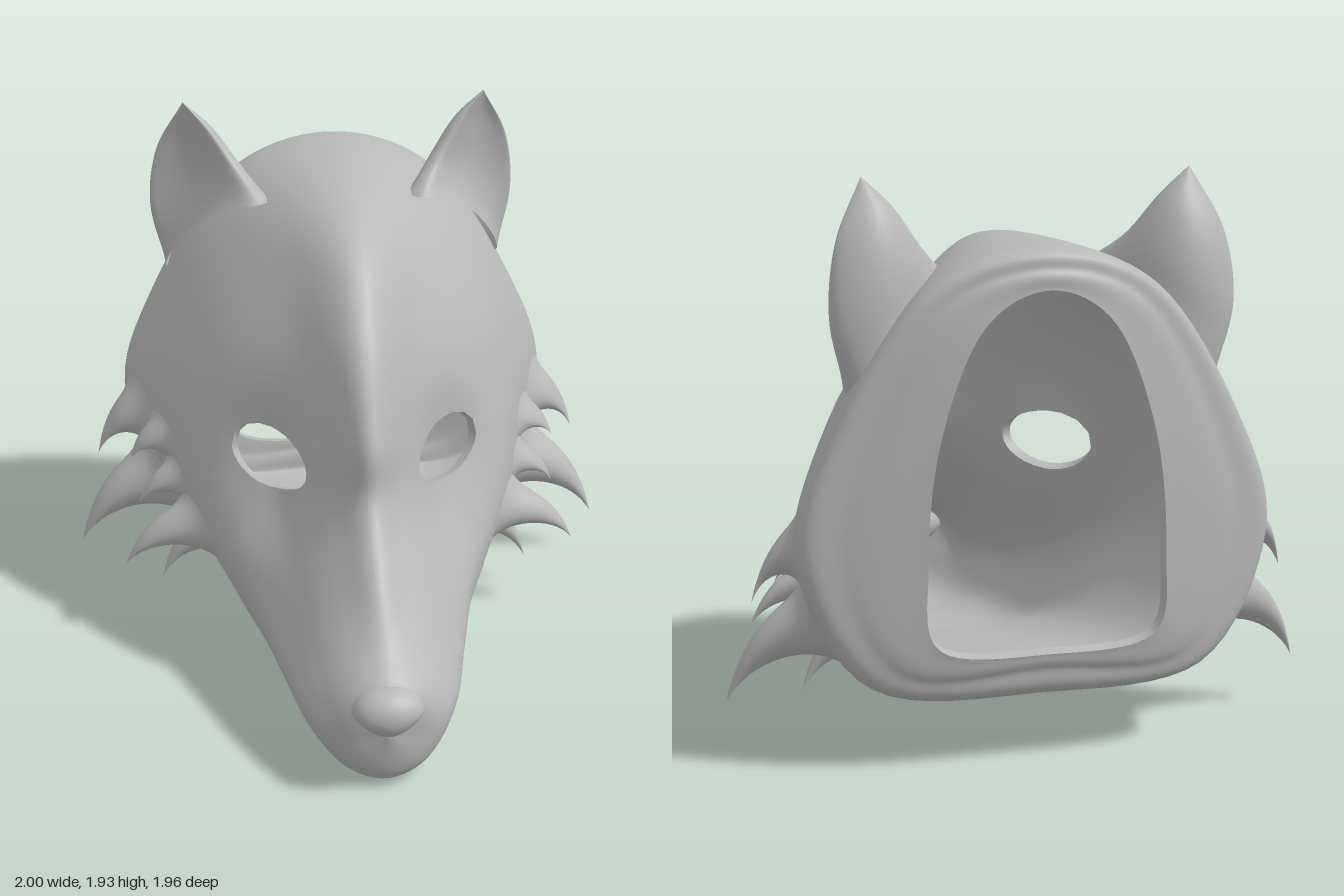
import * as THREE from 'three';

const V = (x, y, z) => new THREE.Vector3(x, y, z);
const spline = (pts, closed = false) => new THREE.CatmullRomCurve3(pts, closed, 'catmullrom', 0.5);

// Cross-sections of one half, nose end to back opening: ridge, brow, eye, cheek, jaw, keel
const sections = [];
const section = (...p) => sections.push(p.map((q) => V(...q)));
const tip = [0, 0.25, 0.93];
section(tip, tip, tip, tip, tip, tip);
section([0, 0.405, 0.895], [0.09, 0.38, 0.885], [0.16, 0.3, 0.865], [0.175, 0.2, 0.855], [0.11, 0.09, 0.87], [0, 0.05, 0.88]);
section([0, 0.51, 0.76], [0.1, 0.475, 0.74], [0.2, 0.38, 0.72], [0.27, 0.24, 0.7], [0.18, 0.06, 0.72], [0, 0, 0.76]);
section([0, 0.66, 0.62], [0.11, 0.62, 0.55], [0.23, 0.52, 0.46], [0.335, 0.3, 0.44], [0.23, 0.08, 0.5], [0, 0.015, 0.55]);
section([0, 0.86, 0.42], [0.13, 0.79, 0.32], [0.27, 0.67, 0.165], [0.4, 0.4, 0.2], [0.285, 0.1, 0.25], [0, 0.04, 0.3]);
section([0, 1.08, 0.38], [0.16, 1.0, 0.2], [0.32, 0.86, 0.015], [0.485, 0.5, 0.03], [0.35, 0.16, 0.05], [0, 0.08, 0.1]);
section([0, 1.4, 0.17], [0.22, 1.27, 0.01], [0.46, 1.0, -0.13], [0.58, 0.55, -0.15], [0.38, 0.2, -0.15], [0, 0.12, -0.12]);
section([0, 1.65, -0.2], [0.28, 1.5, -0.32], [0.58, 1.08, -0.38], [0.67, 0.6, -0.42], [0.44, 0.23, -0.42], [0, 0.17, -0.4]);
section([0, 1.71, -0.87], [0.39, 1.57, -0.85], [0.69, 1.12, -0.83], [0.8, 0.7, -0.83], [0.56, 0.27, -0.86], [0, 0.22, -0.89]);
section([0, 1.64, -0.97], [0.33, 1.52, -0.945], [0.57, 1.1, -0.92], [0.65, 0.7, -0.92], [0.47, 0.34, -0.95], [0, 0.33, -0.965]);
section([0, 1.58, -0.98], [0.22, 1.46, -0.98], [0.36, 1.1, -0.98], [0.4, 0.7, -0.98], [0.36, 0.42, -0.98], [0, 0.38, -0.98]);

const lines = [0, 1, 2, 3, 4, 5].map((k) => spline(sections.map((s) => s[k])));
const ringAt = (u) => {
  const half = lines.map((l) => l.getPoint(u));
  const other = half.slice(1, 5).reverse().map((p) => V(-p.x, p.y, p.z));
  return spline([...half, ...other], true);
};
const skinPoint = (u, v) => ringAt(u).getPoint(v);
const skinNormal = (u, v) => {
  const e = 0.002;
  const du = skinPoint(u + e, v).sub(skinPoint(u - e, v));
  const dv = skinPoint(u, v + e).sub(skinPoint(u, v - e));
  return dv.cross(du).normalize();
};

// Less than 1 inside an eye opening
const eyeDistance = (p) => p.z < -0.4 ? 9
  : Math.hypot((Math.abs(p.x) - 0.322) / 0.122, (p.y - 0.86) / 0.108);

function geometryOf(points, index) {
  const g = new THREE.BufferGeometry().setFromPoints(points);
  g.setIndex(index);
  g.computeVertexNormals();
  return g;
}

// Surface from rows of closed rings
function ringSurface(rows, cols, fn, skip = () => false) {
  const points = [], index = [];
  for (let i = 0; i <= rows; i++) for (let j = 0; j < cols; j++) points.push(fn(i, j));
  for (let i = 0; i < rows; i++) for (let j = 0; j < cols; j++) {
    const a = i * cols + j, b = i * cols + (j + 1) % cols, c = a + cols, d = b + cols;
    for (const tri of [[a, b, c], [b, d, c]]) if (!skip(tri)) index.push(...tri);
  }
  return { points, index };
}

function mirrored(g) {
  const m = g.clone().scale(-1, 1, 1), ix = m.index.array;
  for (let i = 0; i < ix.length; i += 3) [ix[i], ix[i + 1]] = [ix[i + 1], ix[i]];
  return m;
}

// Hollow head: outer skin, inner skin and the walls of the openings
function buildShell() {
  const rows = 110, cols = 80, thick = 0.04, inside = new Map();
  let ring;
  const { points, index } = ringSurface(rows, cols, (i, j) => {
    const u = i / rows, v = j / cols;
    if (j === 0) ring = ringAt(u);
    const p = ring.getPoint(v);
    if (eyeDistance(p) >= 1) return p;
    // Slide the vertex outward along the skin to the edge of the eye
    const cv = v < 0.5 ? 0.2 : 0.8, du = u - 0.5, dv = v - cv;
    let lo = 1, hi = 0.16 / Math.max(Math.hypot(du, dv), 0.001);
    for (let n = 0; n < 16; n++) {
      const mid = (lo + hi) / 2;
      if (eyeDistance(skinPoint(0.5 + du * mid, cv + dv * mid)) < 1) lo = mid; else hi = mid;
    }
    const uv = [0.5 + du * hi, cv + dv * hi];
    inside.set(i * cols + j, skinNormal(...uv));
    return skinPoint(...uv);
  }, (tri) => tri.every((k) => inside.has(k)));
  const outer = geometryOf(points, index);
  const normal = outer.attributes.normal;
  for (let j = 0; j < cols; j++) normal.setXYZ(j, 0, 0, 1);
  for (const [k, n] of inside) normal.setXYZ(k, n.x, n.y, n.z);
  const inPoints = points.map((p, k) => V().fromBufferAttribute(normal, k).multiplyScalar(-thick).add(p));
  const inner = geometryOf(inPoints, index.slice().reverse());

  const edges = new Set();
  const key = (a, b) => a * 100000 + b;
  for (let t = 0; t < index.length; t += 3)
    for (let e = 0; e < 3; e++) edges.add(key(index[t + e], index[t + (e + 1) % 3]));
  const wall = [];
  for (const e of edges) {
    const a = Math.floor(e / 100000), b = e % 100000;
    if (edges.has(key(b, a)) || (a < cols && b < cols)) continue;
    wall.push(b, a, a + points.length, b, a + points.length, b + points.length);
  }
  return { outer, inner, walls: geometryOf([...points, ...inPoints], wall) };
}

// Cupped ear with a blunt edge, hollow front, rounded back and thicker root
function buildEar() {
  const innerEdge = spline([V(0.27, 1.6, -0.52), V(0.36, 1.7, -0.64), V(0.455, 1.83, -0.69), V(0.55, 1.925, -0.715)]);
  const outerEdge = spline([V(0.61, 1.24, -0.82), V(0.67, 1.48, -0.825), V(0.645, 1.72, -0.79), V(0.55, 1.925, -0.715)]);
  const facing = V(0.6, 0.1, 0.77).normalize();
  const { points, index } = ringSurface(28, 40, (i, j) => {
    const t = 1 - (1 - i / 28) ** 1.3, a = (j / 40) * Math.PI * 2, s = Math.sin(a);
    const p = innerEdge.getPoint(t), q = outerEdge.getPoint(t);
    const half = (0.1 + 0.08 * Math.exp(-7 * t) + 0.1 * t) * Math.sign(s) * Math.abs(s) ** 0.7;
    const depth = p.distanceTo(q) * (half - (0.15 + 0.1 * t) * s * s);
    return p.lerp(q, (1 - Math.cos(a)) / 2).addScaledVector(facing, depth)
      .addScaledVector(V(0.05, 0.06, 0), s * s * (1 - t) ** 2);
  });
  return geometryOf(points, index);
}

// Curved fur point flaring out of the cheek; base given as z, y and radii
function buildTuft(skin, [z, y, rz, ry], end) {
  const ray = new THREE.Raycaster();
  const onSkin = (yy, zz, fallback) => {
    ray.set(V(3, yy, zz), V(-1, 0, 0));
    const hit = ray.intersectObject(skin)[0];
    const found = hit && hit.point.x > 0.2;
    return { point: V((found ? hit.point.x : fallback) - 0.003, yy, zz), normal: found ? hit.normal : V(1, 0, 0) };
  };
  const c = onSkin(y, z, 0.5).point, cols = 28, rows = 22, flare = 0.55;
  const base = Array.from({ length: cols }, (_, j) => {
    const a = (j / cols) * Math.PI * 2, r = 1 + flare;
    return onSkin(y + r * ry * Math.cos(a), z + r * rz * Math.sin(a), c.x - 0.08);
  });
  const path = new THREE.QuadraticBezierCurve3(c, V(c.x + (end.x - c.x) * 0.75, c.y - 0.01, (z + end.z) / 2), end);
  const { points, index } = ringSurface(rows, cols, (i, j) => {
    const t = (i / rows) ** 1.6;
    const size = (1 - t) ** 1.1 * (1 + flare * Math.exp(-t * 9)) / (1 + flare);
    return base[j].point.clone().sub(c).multiplyScalar(size).add(path.getPoint(t));
  });
  const g = geometryOf(points, index);
  base.forEach(({ normal: n }, j) => g.attributes.normal.setXYZ(j, n.x, n.y, n.z));
  return g;
}

// Nose pad, narrowing toward the bottom
function buildNose() {
  const g = new THREE.SphereGeometry(1, 36, 24), p = g.attributes.position;
  for (let i = 0; i < p.count; i++) {
    const y = p.getY(i);
    p.setX(i, p.getX(i) * (y < 0 ? 1 + 0.35 * y : 1));
  }
  g.scale(0.125, 0.09, 0.09).translate(0, 0.33, 0.89);
  g.computeVertexNormals();
  return g;
}

export function createModel() {
  const model = new THREE.Group();
  model.name = 'animalMask';
  const grey = new THREE.MeshStandardMaterial({ color: 0xb8b8b8, side: THREE.DoubleSide });
  grey.name = 'plain grey';
  const add = (name, geometry) => {
    const mesh = new THREE.Mesh(geometry, grey);
    mesh.name = name;
    model.add(mesh);
    return mesh;
  };
  const addPair = (name, geometry) => {
    add(name + 'Left', geometry);
    add(name + 'Right', mirrored(geometry));
  };

  const shell = buildShell();
  const skin = add('headOuterSkin', shell.outer);
  add('headInnerSkin', shell.inner);
  add('openingWalls', shell.walls);
  add('nose', buildNose());
  addPair('ear', buildEar());

  const tufts = [
    [[-0.19, 0.47, 0.09, 0.08], V(0.84, 0.31, -0.2)],
    [[-0.32, 0.6, 0.07, 0.055], V(0.78, 0.49, -0.33)],
    [[-0.44, 0.72, 0.08, 0.055], V(0.8, 0.62, -0.45)],
    [[-0.4, 0.3, 0.06, 0.05], V(0.7, 0.12, -0.4)],
    [[-0.63, 0.44, 0.13, 0.11], V(1, 0.18, -0.61)],
    [[-0.66, 0.71, 0.1, 0.09], V(0.92, 0.53, -0.67)],
  ];
  tufts.forEach(([base, end], i) => addPair('cheekTuft' + (i + 1), buildTuft(skin, base, end)));
  return model;
}
